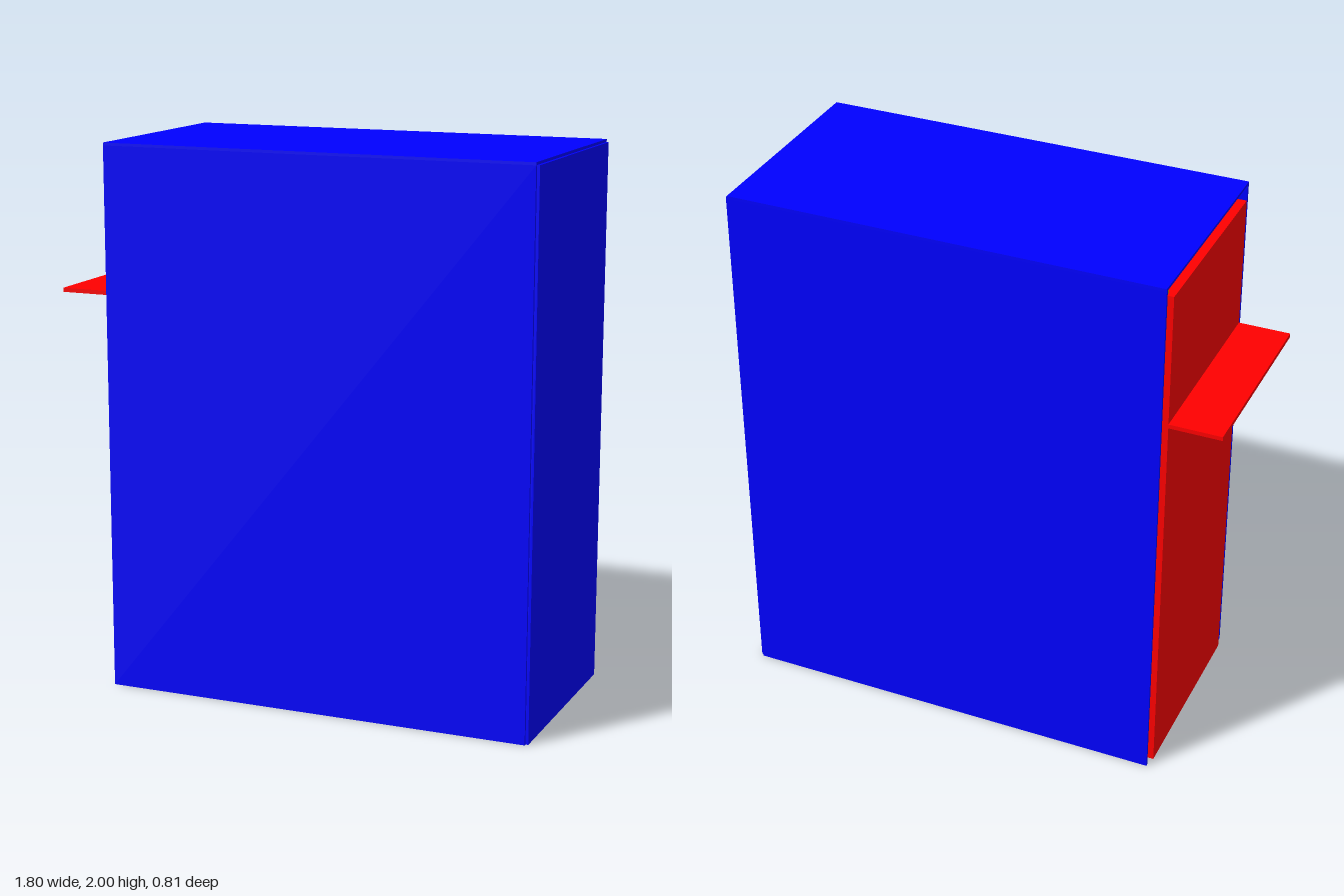
import * as THREE from 'three';

const BLUE = new THREE.MeshStandardMaterial({ color: 0x0000ff });
const RED = new THREE.MeshStandardMaterial({ color: 0xff0000 });
const GREEN = new THREE.MeshStandardMaterial({ color: 0x00ff00 });

// Box panel given by its [min, max] range on each axis
function panel(name, material, [x0, x1], [y0, y1], [z0, z1]) {
  const mesh = new THREE.Mesh(new THREE.BoxGeometry(x1 - x0, y1 - y0, z1 - z0), material);
  mesh.position.set((x0 + x1) / 2, (y0 + y1) / 2, (z0 + z1) / 2);
  mesh.name = name;
  return mesh;
}

export function createModel() {
  const model = new THREE.Group();
  model.name = 'sleeveWithInnerBox';
  const t = 0.01; // sheet thickness

  // Outer sleeve: open at the bottom and on the -x side
  const sleeve = new THREE.Group();
  sleeve.name = 'outerSleeve';
  const d = 0.405;
  sleeve.add(
    panel('sleeveTop', BLUE, [-0.7, 0.89], [2 - t, 2], [-d, d]),
    panel('sleeveFront', BLUE, [-0.7, 0.89], [0, 2 - t], [d - t, d]),
    panel('sleeveBack', BLUE, [-0.7, 0.89], [0, 2 - t], [-d, -d + t]),
    panel('sleeveEnd', BLUE, [0.89, 0.9], [0, 2 - t], [-d + t, d - t]),
  );

  // Inner box: set in with a gap all round, open at the bottom
  const box = new THREE.Group();
  box.name = 'innerBox';
  const b = 0.36, top = 1.95, x0 = -0.71, x1 = 0.8;
  box.add(
    panel('boxTop', RED, [x0, x1], [top - t, top], [-b, b]),
    panel('boxFront', RED, [x0, x1], [0, top - t], [b - t, b]),
    panel('boxBack', RED, [x0, x1], [0, top - t], [-b, -b + t]),
    panel('boxDoor', RED, [x0, x0 + t], [0, top - t], [-b + t, b - t]),
    panel('boxEnd', RED, [x1 - t, x1], [0, top - t], [-b + t, b - t]),
    panel('handleShelf', RED, [-0.9, x0], [1.45, 1.465], [-b, b]),
  );

  // Small spacer in the gap at the top back corner
  const spacer = panel('cornerSpacer', GREEN, [-0.69, -0.65], [top + 0.01, 2 - t], [-d + t, -b]);

  model.add(sleeve, box, spacer);
  return model;
}
